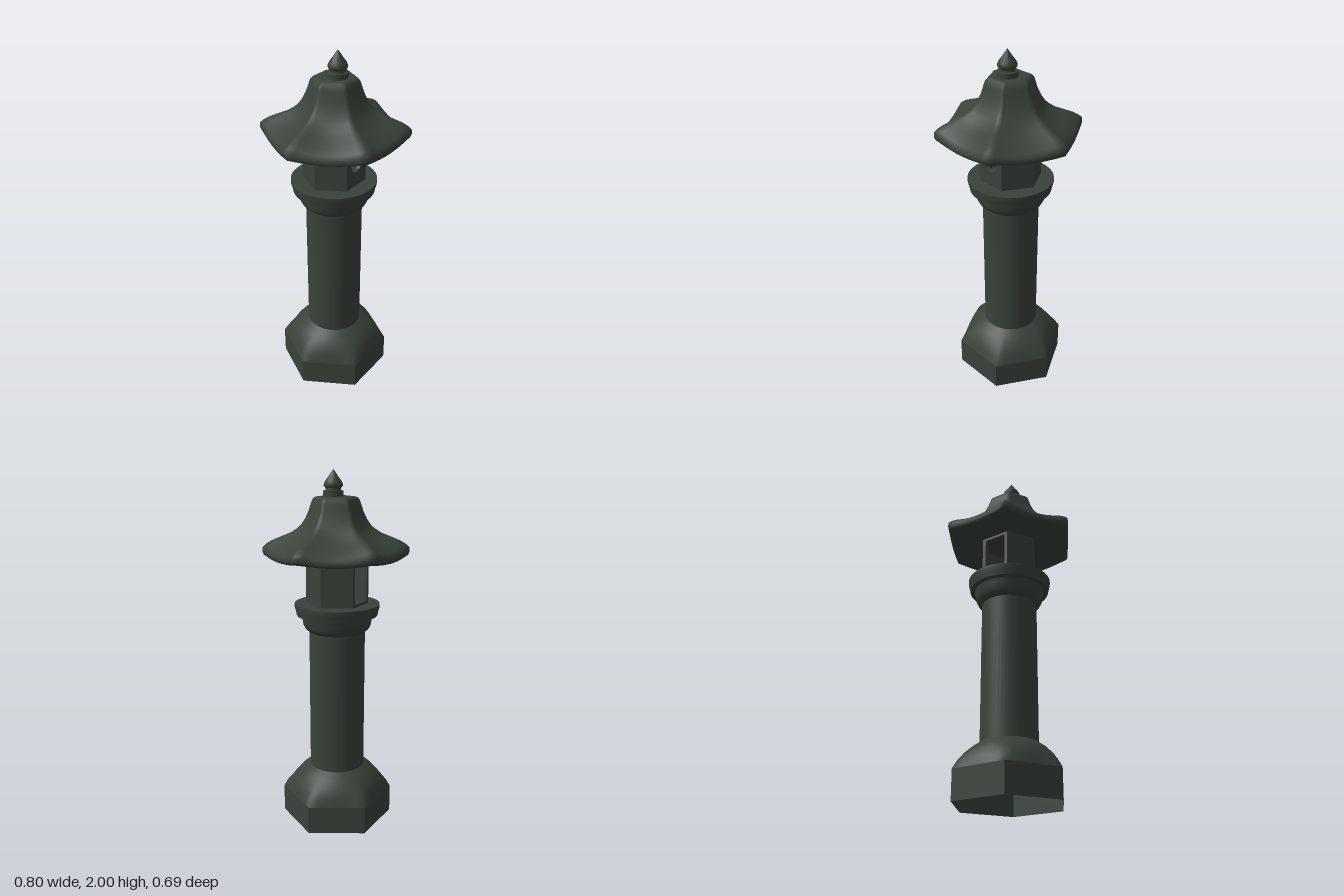
import * as THREE from 'three';
import { toCreasedNormals } from 'three/addons/utils/BufferGeometryUtils.js';

const SIXTH = Math.PI / 3;

// Stacks closed rings [radius, y, hexness 0..1, corner lift], listed bottom to top.
function loft(rings, segments) {
  const positions = [], index = [];
  rings.forEach(([r, y, hex = 1, lift = 0], i) => {
    for (let j = 0; j < segments; j++) {
      const angle = (j / segments) * Math.PI * 2;
      const off = (angle % SIXTH) - SIXTH / 2;
      const hexRadius = Math.cos(SIXTH / 2) / Math.cos(off);
      const corner = Math.abs(off) / (SIXTH / 2);
      const radius = r * (1 - hex + hex * hexRadius);
      positions.push(radius * Math.cos(angle), y + lift * corner * corner, radius * Math.sin(angle));
      if (i < rings.length - 1) {
        const k = (j + 1) % segments;
        const a = i * segments + j, b = a + segments;
        const c = i * segments + k, d = c + segments;
        index.push(a, b, c, c, b, d);
      }
    }
  });
  const geometry = new THREE.BufferGeometry();
  geometry.setAttribute('position', new THREE.Float32BufferAttribute(positions, 3));
  geometry.setIndex(index);
  geometry.computeVertexNormals();
  return geometry;
}

function lathe(profile, segments, crease) {
  const points = profile.map(([r, y]) => new THREE.Vector2(r, y));
  return toCreasedNormals(new THREE.LatheGeometry(points, segments), crease);
}

// Flat chamber wall with an optional opening, outer face at the given distance.
function wall(width, y0, y1, hole, distance) {
  const depth = 0.02;
  const shape = new THREE.Shape();
  shape.moveTo(-width / 2, y0).lineTo(width / 2, y0).lineTo(width / 2, y1).lineTo(-width / 2, y1).closePath();
  if (hole) shape.holes.push(hole);
  return new THREE.ExtrudeGeometry(shape, { depth, bevelEnabled: false, curveSegments: 24 })
    .translate(0, 0, distance - depth);
}

export function createModel() {
  const group = new THREE.Group();
  const stone = new THREE.MeshStandardMaterial({ color: 0x3a423a, side: THREE.DoubleSide });
  stone.name = 'dark green stone';

  function add(name, geometry, z = -0.008) {
    const mesh = new THREE.Mesh(geometry, stone);
    mesh.name = name;
    mesh.position.z = z;
    group.add(mesh);
    return mesh;
  }

  // Open hexagonal foot, then a shoulder that turns from hexagon to circle
  add('base', toCreasedNormals(loft([[0.317, 0], [0.317, 0.16]], 6), 0.5));
  add('baseShoulder', loft([
    [0.317, 0.16, 1], [0.29, 0.204, 0.75], [0.253, 0.247, 0.38], [0.206, 0.288, 0.08], [0.156, 0.322, 0],
  ], 48));

  // Round shaft and stepped collar
  add('shaft', new THREE.CylinderGeometry(0.156, 0.156, 0.82, 48, 1, true).translate(0, 0.73, 0));
  add('collar', lathe([
    [0.15, 1.122], [0.158, 1.125], [0.178, 1.142], [0.189, 1.163], [0.193, 1.19], [0.2, 1.215],
    [0.225, 1.218], [0.229, 1.24], [0.236, 1.265], [0.236, 1.282], [0, 1.282],
  ], 48, 0.7));

  // Hexagonal lamp chamber: round window in front, large square opening behind
  const radius = 0.172, apothem = radius * Math.cos(SIXTH / 2);
  const roundWindow = new THREE.Path().absarc(0, 1.41, 0.046, 0, Math.PI * 2, true);
  const squareWindow = new THREE.Path();
  squareWindow.moveTo(-0.066, 1.297).lineTo(-0.066, 1.515).lineTo(0.066, 1.515).lineTo(0.066, 1.297).closePath();
  for (let i = 0; i < 6; i++) {
    const hole = i === 0 ? roundWindow : i === 3 ? squareWindow : null;
    const name = i === 0 ? 'frontWall' : i === 3 ? 'backWall' : 'sideWall' + i;
    add(name, wall(radius, 1.28, 1.54, hole, apothem)).rotation.y = i * SIXTH;
  }

  // Sweeping hexagonal roof with raised corners and a rounded rim
  add('roof', loft([
    [0, 1.532], [0.2, 1.53], [0.32, 1.527, 1, 0.008], [0.375, 1.524, 1, 0.016], [0.393, 1.528, 1, 0.02],
    [0.4, 1.54, 1, 0.025], [0.398, 1.56, 1, 0.03], [0.38, 1.577, 1, 0.03], [0.35, 1.595, 1, 0.03],
    [0.315, 1.613, 1, 0.027], [0.28, 1.63, 1, 0.024], [0.245, 1.651, 1, 0.017], [0.21, 1.68, 0.95, 0.01],
    [0.188, 1.705, 0.9, 0.005], [0.166, 1.742, 0.9], [0.147, 1.783, 0.9], [0.134, 1.822, 0.9],
    [0.127, 1.842, 1], [0.115, 1.855, 1], [0.1, 1.859, 1], [0, 1.859],
  ], 72), 0);

  // Pointed finial on a short neck
  add('finial', lathe([
    [0.055, 1.855], [0.055, 1.888], [0.042, 1.89], [0.041, 1.902], [0.05, 1.91], [0.052, 1.92],
    [0.044, 1.938], [0.027, 1.96], [0.014, 1.98], [0, 2],
  ], 20, 0.8), 0.016);

  return group;
}
